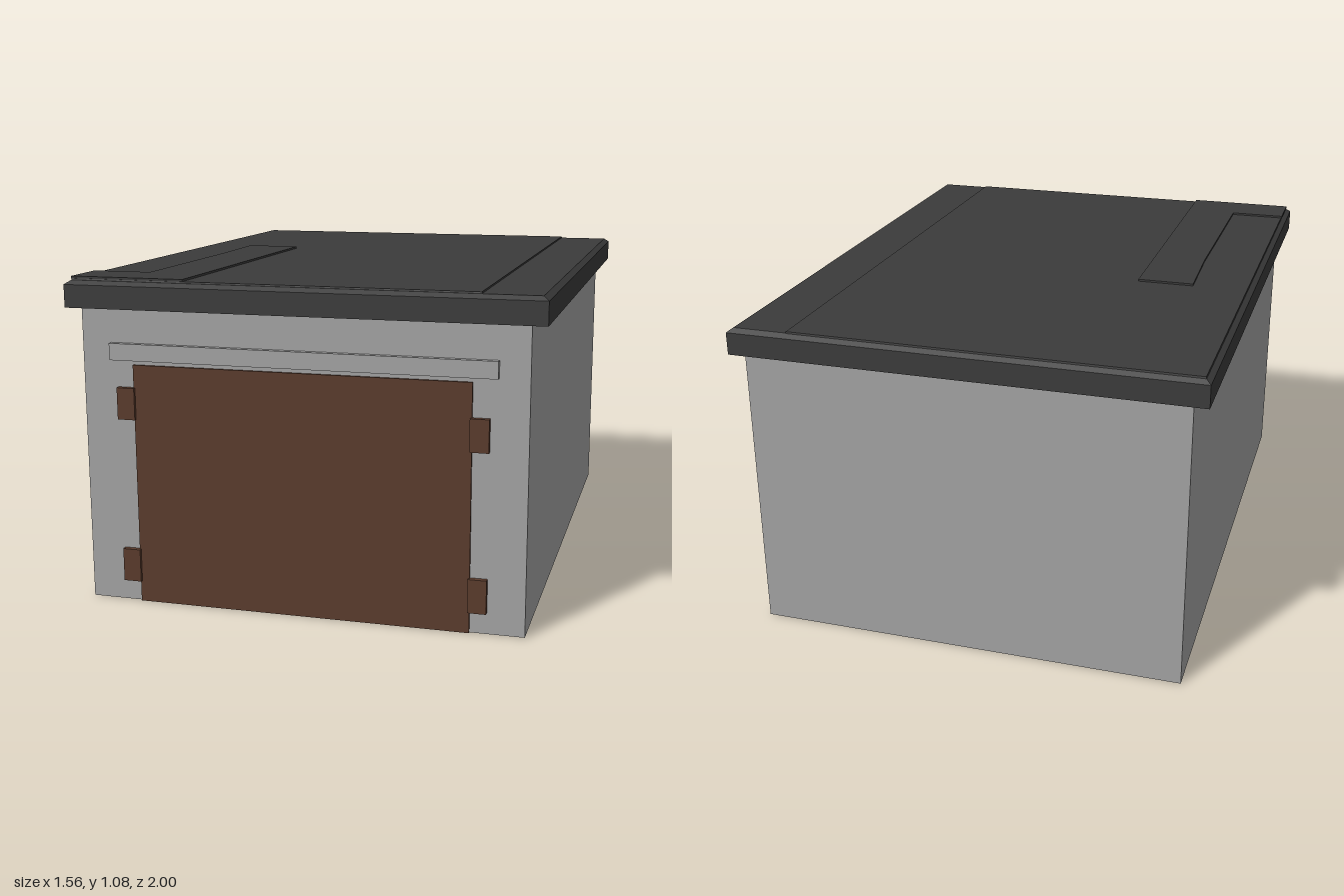
import * as THREE from 'three';

export function createModel() {
  const group = new THREE.Group();
  const mat = (name, color, side = THREE.FrontSide) => {
    const m = new THREE.MeshStandardMaterial({ color, side });
    m.name = name;
    return m;
  };
  const concrete = mat('concrete grey', 0xa3a3a3);
  const felt = mat('roof charcoal', 0x3b3b3b);
  const rust = mat('door brown', 0x5a3b2c);

  const add = (name, geometry, material) => {
    const mesh = new THREE.Mesh(geometry, material);
    mesh.name = name;
    group.add(mesh);
    return mesh;
  };

  // Block between two corners; the top face can be drawn in to form a bevel
  const block = (name, material, [x0, y0, z0], [x1, y1, z1], inset = 0) => {
    const g = new THREE.BoxGeometry(x1 - x0, y1 - y0, z1 - z0);
    const p = g.attributes.position;
    for (let i = 0; i < p.count; i++) {
      if (inset && p.getY(i) > 0) {
        p.setX(i, p.getX(i) - Math.sign(p.getX(i)) * inset);
        p.setZ(i, p.getZ(i) - Math.sign(p.getZ(i)) * inset);
      }
    }
    g.translate((x0 + x1) / 2, (y0 + y1) / 2, (z0 + z1) / 2);
    g.computeVertexNormals();
    return add(name, g, material);
  };

  // Walls
  block('walls', concrete, [-0.73, 0, -0.98], [0.73, 0.98, 0.98]);

  // Roof slab with a bevelled rim and a slightly higher main sheet
  block('roofSlab', felt, [-0.78, 0.98, -1], [0.78, 1.055, 1]);
  block('roofBevel', felt, [-0.78, 1.055, -1], [0.78, 1.068, 1], 0.018);
  block('roofSheet', felt, [-0.765, 1.06, -0.985], [0.58, 1.073, 0.98], 0.003);

  // L-shaped patch lying on the roof
  const patch = new THREE.Shape([
    [-0.765, -0.975], [-0.38, -0.975], [-0.38, 0.17],
    [-0.575, 0.17], [-0.565, -0.12], [-0.565, -0.81], [-0.765, -0.81],
  ].map(([x, y]) => new THREE.Vector2(x, y)));
  const patchGeo = new THREE.ExtrudeGeometry(patch, { depth: 0.008, bevelEnabled: false });
  patchGeo.rotateX(-Math.PI / 2).translate(0, 1.072, 0);
  add('roofPatch', patchGeo, felt);

  // Gate and the lintel above it
  block('gate', rust, [-0.555, 0, 0.975], [0.555, 0.8, 0.988]);
  block('lintel', concrete, [-0.63, 0.815, 0.975], [0.635, 0.87, 1]);

  // Hinges at the sides of the gate
  const hinges = [[-1, 0.62, 0.725], [1, 0.585, 0.69], [-1, 0.07, 0.18], [1, 0.07, 0.18]];
  for (const [side, y0, y1] of hinges) {
    const xs = [side * 0.55, side * 0.61].sort((a, b) => a - b);
    block('hinge', rust, [xs[0], y0, 0.975], [xs[1], y1, 0.998]);
  }

  // Dark patch under the floor at the front corner
  const stain = new THREE.Shape([
    [0.3, 0.975], [-0.71, 0.975], [-0.673, 0.28],
  ].map(([x, y]) => new THREE.Vector2(x, y)));
  const stainGeo = new THREE.ShapeGeometry(stain);
  stainGeo.rotateX(Math.PI / 2).translate(0, -0.001, 0);
  add('floorPatch', stainGeo, felt);

  return group;
}
